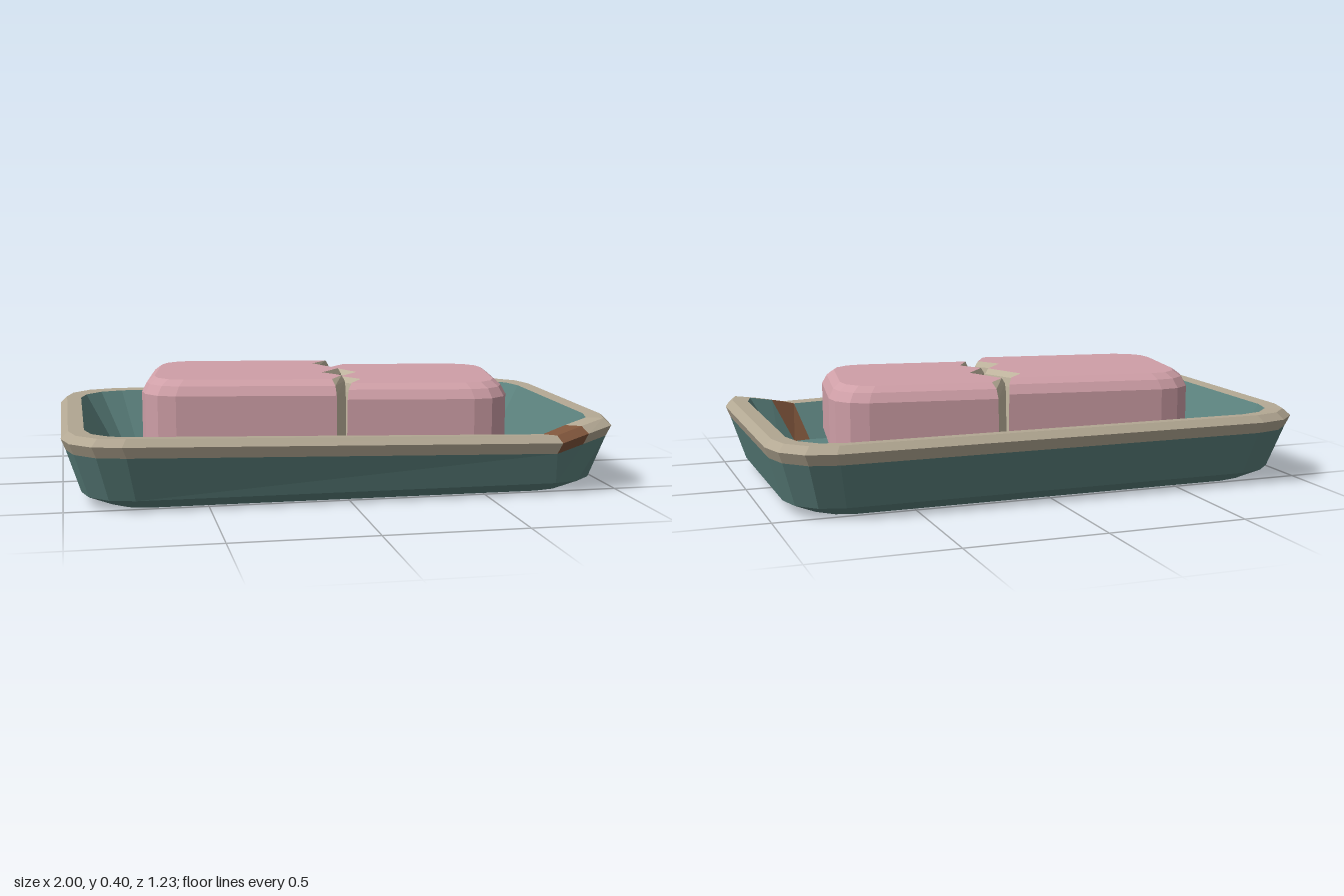
import * as THREE from 'three';

const mat = (name, color) => {
  const m = new THREE.MeshStandardMaterial({ color, flatShading: true });
  m.name = name;
  return m;
};

// Faceted rounded rectangle in plan, counter-clockwise from above, four points per corner
function roundRect(hx, hz, r, y, cx = 0) {
  const pts = [];
  for (let k = 0; k < 4; k++) {
    const sx = k === 0 || k === 3 ? 1 : -1;
    const sz = k < 2 ? -1 : 1;
    for (let j = 0; j < 4; j++) {
      const a = (k * 90 + j * 30) * Math.PI / 180;
      pts.push([cx + sx * (hx - r) + r * Math.cos(a), y, sz * (hz - r) - r * Math.sin(a)]);
    }
  }
  return pts;
}

// Joins rings into a closed flat-shaded solid; pick(level, segment) gives a material index
function loft(name, rings, materials, pick = () => 0) {
  const buckets = materials.map(() => []);
  const n = rings[0].length;
  for (let i = 0; i < rings.length - 1; i++) {
    for (let j = 0; j < n; j++) {
      const k = (j + 1) % n;
      const [a, b, c, d] = [rings[i][j], rings[i][k], rings[i + 1][k], rings[i + 1][j]];
      buckets[pick(i, j)].push(...a, ...b, ...c, ...a, ...c, ...d);
    }
  }
  for (const [ring, up] of [[rings[0], false], [rings[rings.length - 1], true]]) {
    const flat = ring.map(p => new THREE.Vector2(p[0], -p[2]));
    for (const [a, b, c] of THREE.ShapeUtils.triangulateShape(flat, [])) {
      const ccw = THREE.ShapeUtils.area([flat[a], flat[b], flat[c]]) > 0;
      const order = ccw === up ? [a, b, c] : [a, c, b];
      order.forEach(q => buckets[0].push(...ring[q]));
    }
  }
  const geo = new THREE.BufferGeometry();
  let start = 0;
  buckets.forEach((b, i) => {
    geo.addGroup(start, b.length / 3, i);
    start += b.length / 3;
  });
  geo.setAttribute('position', new THREE.Float32BufferAttribute(buckets.flat(), 3));
  geo.computeVertexNormals();
  const mesh = new THREE.Mesh(geo, materials);
  mesh.name = name;
  return mesh;
}

// Zigzag break line across the soap: x, z
const CRACK = [[0.03, -0.315], [-0.025, -0.18], [0.07, -0.03], [0.005, 0.085], [0.075, 0.165], [0.035, 0.315]];

// Outline of one soap half: two rounded corners closed by the break line
function soapRing(side, inset, y, gap) {
  const hx = 0.68 - inset, hz = 0.315 - inset;
  const outer = roundRect(hx, hz, 0.135 - inset * 0.4, y);
  const crack = CRACK.map(([x, z]) => [x + 0.025 + side * gap, y, THREE.MathUtils.clamp(z, -hz, hz)]);
  return side < 0
    ? [...crack.reverse(), ...outer.slice(4, 12)]
    : [...crack, ...outer.slice(12), ...outer.slice(0, 4)];
}

export function createModel() {
  const teal = mat('teal glaze', 0x5c827e);
  const darkTeal = mat('dark teal', 0x3f5d59);
  const rim = mat('bare clay rim', 0xb3a893);
  const brown = mat('chipped brown', 0x80563c);
  const pink = mat('pink soap', 0xcf9fa7);
  const cream = mat('cream soap core', 0xc4b9a2);

  const model = new THREE.Group();
  model.name = 'soapDish';

  // Dish: outside wall, rim, inside wall and floor in one loft; half x, half z, radius, y
  const profile = [
    [0.85, 0.48, 0.15, 0],
    [0.935, 0.545, 0.18, 0.04],
    [0.985, 0.6, 0.2, 0.2],
    [1, 0.613, 0.2, 0.24],
    [0.975, 0.59, 0.19, 0.265],
    [0.92, 0.54, 0.17, 0.262],
    [0.815, 0.44, 0.11, 0.08],
  ];
  const rings = profile.map(([hx, hz, r, y], i) => {
    const ring = roundRect(hx, hz, r, y);
    // Chipped corner pushed down and inwards
    if (i > 1) {
      const drop = i < 6 ? 1 : 0;
      [[12, 0.04, 0.045, 0.022], [13, 0.03, 0.02, 0.03]].forEach(([q, dx, dy, dz]) => {
        ring[q][0] -= dx;
        ring[q][1] -= dy * drop;
        ring[q][2] -= dz * drop;
      });
    }
    return ring;
  });
  model.add(loft('dish', rings, [teal, rim, brown], (i, j) => {
    if (i >= 2 && j === 12) return 2;
    return i >= 2 && i <= 4 ? 1 : 0;
  }));

  // Floor ribs under the soap
  for (const x of [-0.47, 0, 0.465]) {
    model.add(loft('floorRib', [
      roundRect(0.042, 0.36, 0.04, 0.078, x),
      roundRect(0.022, 0.335, 0.02, 0.105, x),
    ], [darkTeal]));
  }

  // Soap bar broken in two, lying slightly askew
  const soap = new THREE.Group();
  soap.name = 'soap';
  soap.rotation.y = -9 * Math.PI / 180;
  for (const side of [-1, 1]) {
    const dy = side > 0 ? -0.015 : 0;
    const levels = [
      [0.05, 0.105, 0.018],
      [0, 0.155, 0.018],
      [0, 0.348 + dy, 0.02],
      [0.018, 0.382 + dy, 0.024],
      [0.045, 0.403 + dy, 0.036],
    ];
    soap.add(loft(side < 0 ? 'rightSoapHalf' : 'leftSoapHalf',
      levels.map(([inset, y, gap]) => soapRing(side, inset, y, gap)),
      [pink, cream], (i, j) => (j < CRACK.length - 1 ? 1 : 0)));
  }
  model.add(soap);
  return model;
}
